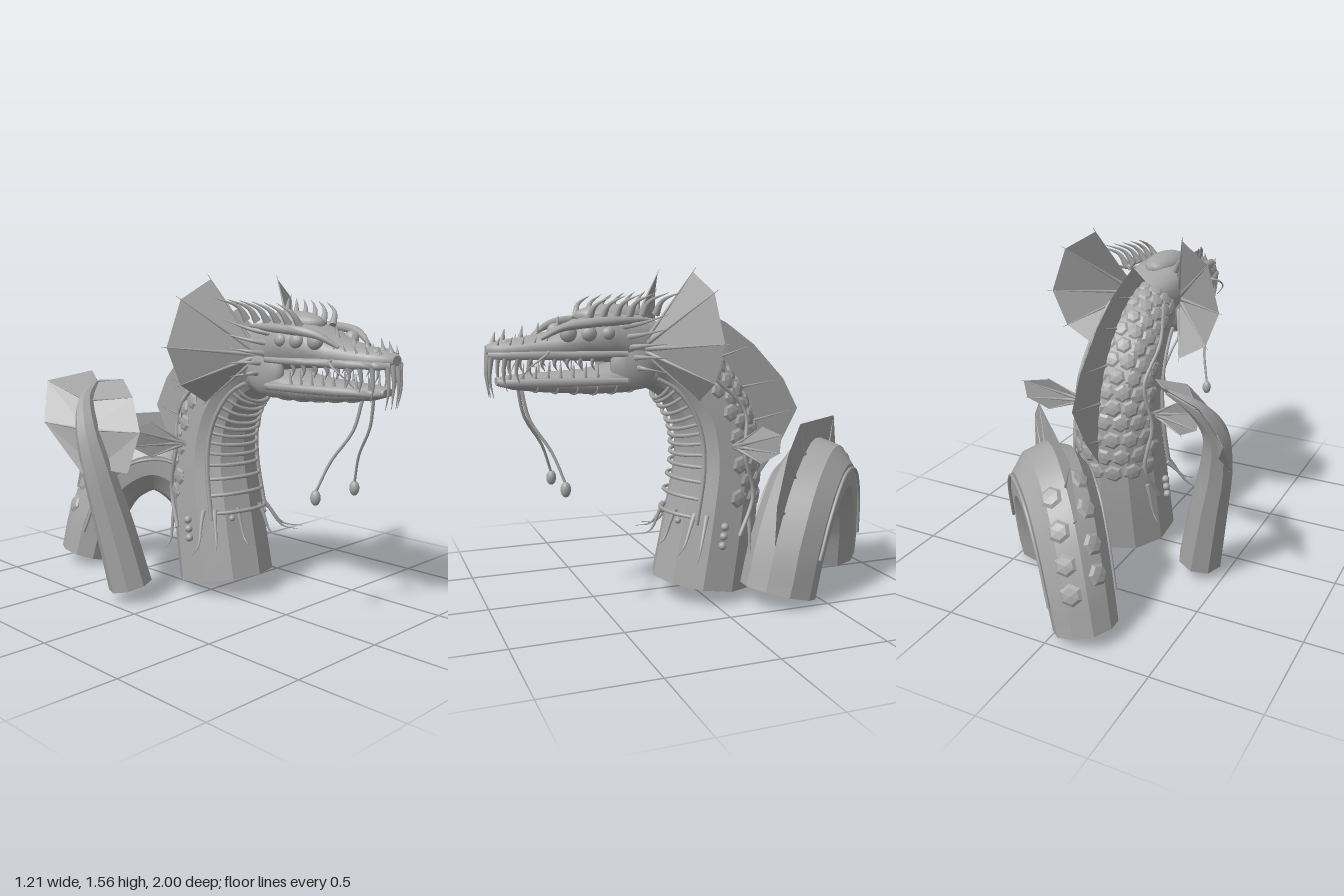
import * as THREE from 'three';

const V = (x, y, z) => new THREE.Vector3(x, y, z);
const skin = new THREE.MeshStandardMaterial({ color: 0xa6a6a6, side: THREE.DoubleSide });
skin.name = 'grey skin';

function add(parent, name, geo) {
  const m = new THREE.Mesh(geo, skin);
  m.name = name;
  parent.add(m);
  return m;
}

// Skin a list of rings (counter-clockwise about the travel direction), with end caps.
// Faceted bodies keep hard edges between their long sides but stay smooth lengthwise.
function ringsGeo(rings, faceted) {
  const n = rings[0].length, pos = [], idx = [];
  const put = p => pos.push(p.x, p.y, p.z) / 3 - 1;
  const mid = r => r.reduce((s, p) => s.add(p), V(0, 0, 0)).divideScalar(n);
  const shared = faceted ? null : rings.map(r => r.map(put));
  for (let j = 0; j < n; j++) {
    const k = (j + 1) % n;
    const strip = rings.map((r, i) => faceted ? [put(r[j]), put(r[k])] : [shared[i][j], shared[i][k]]);
    for (let i = 0; i < rings.length - 1; i++) {
      const [a, b] = strip[i], [d, c] = strip[i + 1];
      idx.push(a, b, c, a, c, d);
    }
  }
  [0, rings.length - 1].forEach((k, end) => {
    const c = put(mid(rings[k])), rim = rings[k].map(put);
    rim.forEach((a, j) => idx.push(c, end ? a : rim[(j + 1) % n], end ? rim[(j + 1) % n] : a));
  });
  const g = new THREE.BufferGeometry();
  g.setAttribute('position', new THREE.Float32BufferAttribute(pos, 3));
  g.setIndex(idx);
  g.computeVertexNormals();
  return g;
}

// A body is a curve with a list of radii along it and a fixed sideways reference
function body(points, radii, side = V(0.31, 0.2, 0.93)) {
  const curve = new THREE.CatmullRomCurve3(points);
  const at = (t, a, extra = 0) => {
    const T = curve.getTangent(t), N = side.clone().addScaledVector(T, -T.dot(side)).normalize();
    const B = T.clone().cross(N), f = t * (radii.length - 1), i = Math.min(Math.floor(f), radii.length - 2);
    const r = radii[i] + (radii[i + 1] - radii[i]) * (f - i) + extra;
    return curve.getPoint(t).addScaledVector(N, r * Math.cos(a)).addScaledVector(B, r * Math.sin(a));
  };
  const geo = (sides, segs, faceted) => ringsGeo(Array.from({ length: segs + 1 }, (_, i) =>
    Array.from({ length: sides }, (_, j) => at(i / segs, (j + 0.5) / sides * Math.PI * 2))), faceted);
  return { at, geo, curve };
}
const spine = (parent, name, pts, r, tip = 0.001) =>
  add(parent, name, body(pts, [r, tip]).geo(6, pts.length > 2 ? 12 : 2));

// Thin fin stretched between two edges, with a ray along each step
function rayedFin(parent, name, a, b, r = 0.007, over = 1.04) {
  const pos = [];
  const tri = (...ps) => ps.forEach(p => pos.push(p.x, p.y, p.z));
  for (let i = 0; i < a.length - 1; i++) {
    tri(a[i], b[i], b[i + 1]);
    if (a[i].distanceTo(a[i + 1]) > 1e-5) tri(a[i], b[i + 1], a[i + 1]);
  }
  const g = new THREE.BufferGeometry();
  g.setAttribute('position', new THREE.Float32BufferAttribute(pos, 3));
  g.computeVertexNormals();
  add(parent, name, g);
  a.forEach((p, i) => spine(parent, name + 'Ray', [p, p.clone().lerp(b[i], over)], r));
}

const ball = new THREE.SphereGeometry(1, 14, 10);
const plate = new THREE.SphereGeometry(1, 6, 4).toNonIndexed();
plate.computeVertexNormals();
function blob(parent, name, p, sx, sy, sz) {
  const m = add(parent, name, ball);
  m.position.copy(p);
  m.scale.set(sx, sy, sz);
}
function scale(parent, bod, t, a, r, thick) {
  const m = add(parent, 'scale', plate), p = bod.at(t, a, -0.005);
  m.position.copy(p);
  m.quaternion.setFromUnitVectors(V(0, 1, 0), bod.at(t, a, 0.1).sub(p).normalize());
  m.scale.set(r, thick, r);
}

function buildNeck(g) {
  const neck = body([V(0, 0.07, -0.005), V(0, 0.4, -0.06), V(0, 0.7, -0.09), V(0, 0.92, -0.04), V(0, 1.1, 0.1), V(0, 1.18, 0.28)],
    [0.24, 0.228, 0.207, 0.19, 0.168, 0.14], V(1, 0, 0));
  const F = -Math.PI / 2;
  add(g, 'neck', neck.geo(10, 24, true));
  // belly ribs
  for (let i = 0; i < 13; i++) {
    const t = 0.2 + i * 0.054;
    add(g, 'bellyRib', body([-1, -0.6, -0.2, 0.2, 0.6, 1].map(s => neck.at(t, F + s * 0.9, 0.018 - 0.016 * s * s)), [0.008, 0.01, 0.008]).geo(6, 14));
  }
  // low scales on the back and flanks
  for (let i = 0; i < 14; i++) for (let j = 0; j < 7; j++)
    scale(g, neck, 0.27 + i * 0.05, 0.2 + (j + (i % 2) * 0.5) / 6.5 * 2.74, 0.048 - i * 0.0008, 0.012);
  for (const s of [-1, 1]) {
    // lateral cords
    add(g, 'neckCord', body([0.18, 0.35, 0.5, 0.65, 0.8, 0.93].map(t => neck.at(t, F + s * 0.93, 0.01)), [0.011, 0.01]).geo(6, 30));
    add(g, 'neckCord', body([0.16, 0.28, 0.4, 0.55, 0.72, 0.85].map((t, i) => neck.at(t, F + s * (1.85 + (i % 2) * 0.28), 0.01)), [0.01, 0.008]).geo(6, 30));
    // tendrils around the base
    for (const [a, spread] of [[0.35, 0.45], [0.85, 1], [1.1, 1.3], [2.1, 0.4]])
      spine(g, 'tendril', [[0.21, 0], [0.18, 0.03], [0.12, 0.08], [0.1, 0.16]].map(([t, e]) => neck.at(t, F + s * a, e * spread)), 0.013);
    // barnacles
    for (let i = 0; i < 3; i++) blob(g, 'barnacle', neck.at(0.13 + i * 0.027, F + s * 1.5, 0.002), 0.019, 0.019, 0.019);
    blob(g, 'barnacle', neck.at(0.18, F + s * 0.5, 0.005), 0.015, 0.015, 0.015);
    // side fins on a short stalk
    const root = V(s * 0.19, 0.745, -0.1);
    const rim = [[0.22, 0.765, -0.115], [0.345, 0.855, -0.17], [0.475, 0.835, -0.2], [0.46, 0.75, -0.2], [0.36, 0.69, -0.16], [0.23, 0.735, -0.115]].map(([x, y, z]) => V(s * x, y, z));
    rayedFin(g, 'sideFin', rim.map(() => root), rim, 0.012);
  }
  // back fin
  const ts = [0.97, 0.84, 0.72, 0.6, 0.48, 0.36, 0.27];
  const edge = [[1.4, 0.07], [1.31, -0.14], [1.2, -0.29], [1.03, -0.45], [0.88, -0.53], [0.68, -0.42], [0.5, -0.28]].map(([y, z]) => V(0, y, z));
  rayedFin(g, 'backFin', ts.map(t => neck.at(t, -F, -0.02)), edge, 0.009, 0.85);
}

// Head sections: z, half width, bottom, top
const UPPER = [[0.17, 0.11, 1.08, 1.3], [0.3, 0.155, 1.1, 1.355], [0.45, 0.17, 1.14, 1.37], [0.58, 0.16, 1.15, 1.34], [0.7, 0.128, 1.155, 1.285], [0.82, 0.11, 1.16, 1.26], [0.91, 0.09, 1.16, 1.25], [0.96, 0.065, 1.17, 1.24], [0.99, 0.03, 1.185, 1.225]];
const LOWER = [[0.24, 0.12, 1.02, 1.17], [0.4, 0.158, 1.0, 1.14], [0.55, 0.142, 1.0, 1.11], [0.75, 0.105, 1.015, 1.1], [0.88, 0.078, 1.03, 1.095], [0.95, 0.035, 1.05, 1.085]];
const section = ([z, w, lo, hi]) => Array.from({ length: 18 }, (_, j) => {
  const a = j / 18 * Math.PI * 2, q = v => Math.sign(v) * Math.abs(v) ** 0.8;
  return V(w * q(Math.cos(a)), (lo + hi) / 2 + (hi - lo) / 2 * q(Math.sin(a)), z);
});
// Interpolated section at any z
function sectionAt(list, z) {
  const i = Math.max(0, list.findIndex((r, k) => k < list.length - 1 && z <= list[k + 1][0]));
  const a = list[i], b = list[i + 1], f = (z - a[0]) / (b[0] - a[0]);
  return a.map((v, k) => v + (b[k] - v) * f);
}
const halfWidth = (list, z) => sectionAt(list, z)[1];

function buildHead(g) {
  add(g, 'upperJaw', ringsGeo(UPPER.map(section)));
  add(g, 'lowerJaw', ringsGeo(LOWER.map(section)));
  blob(g, 'skullDome', V(0, 1.345, 0.43), 0.085, 0.055, 0.17);
  // folds under the chin
  for (let i = 0; i < 6; i++) {
    const ring = section(sectionAt(LOWER, 0.36 + i * 0.085));
    add(g, 'chinFold', body([...ring.slice(9), ring[0]], [0.005, 0.007, 0.005]).geo(6, 18));
  }
  // crest of small spikes on the snout
  for (const [z, y, h] of [[0.96, 1.235, 0.05], [0.92, 1.24, 0.055], [0.84, 1.25, 0.06], [0.77, 1.26, 0.06], [0.68, 1.28, 0.07]])
    spine(g, 'snoutSpike', [V(0, y, z), V(0, y + h, z - 0.012)], 0.015);
  for (const s of [-1, 1]) {
    const P = (x, y, z) => V(s * x, y, z);
    blob(g, 'cheek', P(0.12, 1.13, 0.36), 0.045, 0.11, 0.11);
    // eyes, three to a side
    [[0.127, 0.655, 0.038], [0.15, 0.57, 0.035], [0.158, 0.485, 0.03]].forEach(([x, z, r]) => blob(g, 'eye', P(x, 1.275, z), r * 0.8, r, r));
    // brow, lip and jaw ridges
    add(g, 'brow', body([P(0.11, 1.255, 0.77), P(0.15, 1.305, 0.68), P(0.185, 1.325, 0.55), P(0.18, 1.33, 0.42), P(0.13, 1.33, 0.28)], [0.008, 0.021, 0.021, 0.008]).geo(8, 20));
    add(g, 'upperLip', body([0.98, 0.93, 0.82, 0.7, 0.55, 0.4].map(z => P(halfWidth(UPPER, z) - 0.004, 1.185, z)), [0.016, 0.02, 0.014]).geo(6, 20));
    add(g, 'lowerLip', body([0.94, 0.9, 0.75, 0.55, 0.4].map(z => P(halfWidth(LOWER, z) - 0.004, 1.065, z)), [0.016, 0.022, 0.016]).geo(6, 20));
    blob(g, 'nostril', P(0.045, 1.24, 0.91), 0.014, 0.012, 0.02);
    // teeth, longest at the front
    for (let i = 0; i < 9; i++) {
      const z = 0.975 - i * 0.053, x = halfWidth(UPPER, z) * 0.96, h = i < 4 ? 0.18 - i * 0.03 : 0.065;
      spine(g, 'upperTooth', [P(x, 1.18, z), P(x * 0.97, 1.18 - h * 0.55, z + 0.008), P(x * 0.95, 1.18 - h, z - 0.006)], 0.012);
      if (i > 0) spine(g, 'lowerTooth', [P(halfWidth(LOWER, z - 0.02) * 0.92, 1.07, z - 0.02), P(x * 0.9, 1.15, z - 0.025)], 0.01);
    }
    spine(g, 'frontFang', [P(0.018, 1.19, 0.98), P(0.018, 1.1, 0.99), P(0.016, 1.0, 0.98)], 0.013);
    for (let i = 0; i < 5; i++) {
      const z = 0.95 - i * 0.05, x = halfWidth(UPPER, z);
      spine(g, 'lipSpike', [P(x * 0.85, 1.23, z), P(x * 0.95, 1.265, z - 0.01)], 0.008);
    }
    // horns sweeping out along the crown
    for (let i = 0; i < 6; i++) {
      const z = 0.56 - i * 0.06, x = 0.115 + i * 0.004, y = 1.335 + i * 0.004;
      spine(g, 'horn', [P(x, y, z), P(x + 0.035, y + 0.06, z - 0.02), P(x + 0.06 + i * 0.012, y + 0.1, z - 0.085)], 0.018);
    }
    // cheek spikes
    for (let i = 0; i < 5; i++)
      spine(g, 'cheekSpike', [P(0.14, 1.3 - i * 0.045, 0.43 - i * 0.02), P(0.2, 1.32 - i * 0.05, 0.34), P(0.26 - i * 0.008, 1.36 - i * 0.065, 0.24)], 0.016);
    // fanned frill
    const hub = P(0.12, 1.2, 0.33);
    const rim = [[0.23, 1.54, 0.12], [0.38, 1.45, 0.08], [0.45, 1.235, 0.06], [0.38, 1.06, 0.075], [0.235, 0.97, 0.09]].map(p => P(...p));
    rayedFin(g, 'frill', rim.map(() => hub), rim, 0.014, 1.06);
    // chin barbel with bulb
    spine(g, 'barbel', [P(0.04, 1.04, 0.85), P(0.06, 0.9, 0.82), P(0.1, 0.76, 0.735), P(0.14, 0.62, 0.685)], 0.008, 0.006);
    blob(g, 'barbelBulb', P(0.14, 0.595, 0.685), 0.023, 0.035, 0.023);
    // whisker loop beside the snout
    spine(g, 'whisker', [P(0.11, 1.2, 0.74), P(0.16, 1.19, 0.76), P(0.16, 1.14, 0.83), P(0.11, 1.08, 0.87)], 0.008);
  }
}

function buildCoil(g) {
  const coil = body([V(0.375, 0.05, -0.3), V(0.36, 0.25, -0.355), V(0.3, 0.455, -0.46), V(0.17, 0.56, -0.61), V(0.03, 0.475, -0.745), V(-0.07, 0.26, -0.83), V(-0.125, 0.04, -0.86)],
    [0.183, 0.18, 0.175, 0.158, 0.145], V(0.7, 0, -0.7));
  const out = -Math.PI / 2;
  add(g, 'coil', coil.geo(10, 30, true));
  const ts = [0.16, 0.25, 0.34, 0.42, 0.62, 0.7, 0.78];
  rayedFin(g, 'coilFin', ts.map(t => coil.at(t, out, -0.02)), ts.map((t, i) => coil.at(t, out, [0.01, 0.12, 0.17, 0.18, 0.18, 0.07, 0.01][i])), 0.009, 0.9);
  for (const s of [-1, 1])
    add(g, 'coilCord', body([0.15, 0.3, 0.45, 0.6, 0.75, 0.9].map(t => coil.at(t, out + s * 1.35, 0.004)), [0.008, 0.008]).geo(6, 30));
  for (let i = 0; i < 4; i++) for (const s of [-1, 1])
    scale(g, coil, 0.6 + i * 0.075 + (s > 0 ? 0.035 : 0), out + s * 0.45, 0.052, 0.016);
}

function buildTail(g) {
  const tail = body([V(-0.375, 0.07, -0.18), V(-0.432, 0.38, -0.23), V(-0.485, 0.65, -0.28), V(-0.495, 0.83, -0.34), V(-0.44, 0.96, -0.42), V(-0.33, 1.04, -0.48)],
    [0.108, 0.095, 0.077, 0.058, 0.038, 0.012], V(0.9, 0, 0.4));
  add(g, 'tail', tail.geo(8, 24, true));
  // two flukes hinged on the end of the tail
  const ridge = [0.4, 0.6, 0.8, 1].map(t => tail.curve.getPoint(t));
  const outer = [V(-0.56, 0.63, -0.3), V(-0.61, 0.86, -0.53), V(-0.53, 1.05, -0.61), V(-0.31, 1.09, -0.54)];
  const inner = [V(-0.43, 0.64, -0.12), V(-0.37, 0.83, -0.1), V(-0.31, 0.98, -0.22), V(-0.23, 1.05, -0.39)];
  rayedFin(g, 'outerFluke', ridge, outer, 0.008, 1);
  rayedFin(g, 'innerFluke', ridge, inner, 0.008, 1);
}

export function createModel() {
  const model = new THREE.Group();
  model.name = 'seaSerpent';
  const part = (name, build, x = 0) => {
    const g = new THREE.Group();
    g.name = name;
    g.position.x = x;
    build(g);
    model.add(g);
  };
  part('neckGroup', buildNeck, 0.11);
  part('headGroup', buildHead, 0.11);
  part('coilGroup', buildCoil);
  part('tailGroup', buildTail);
  return model;
}
